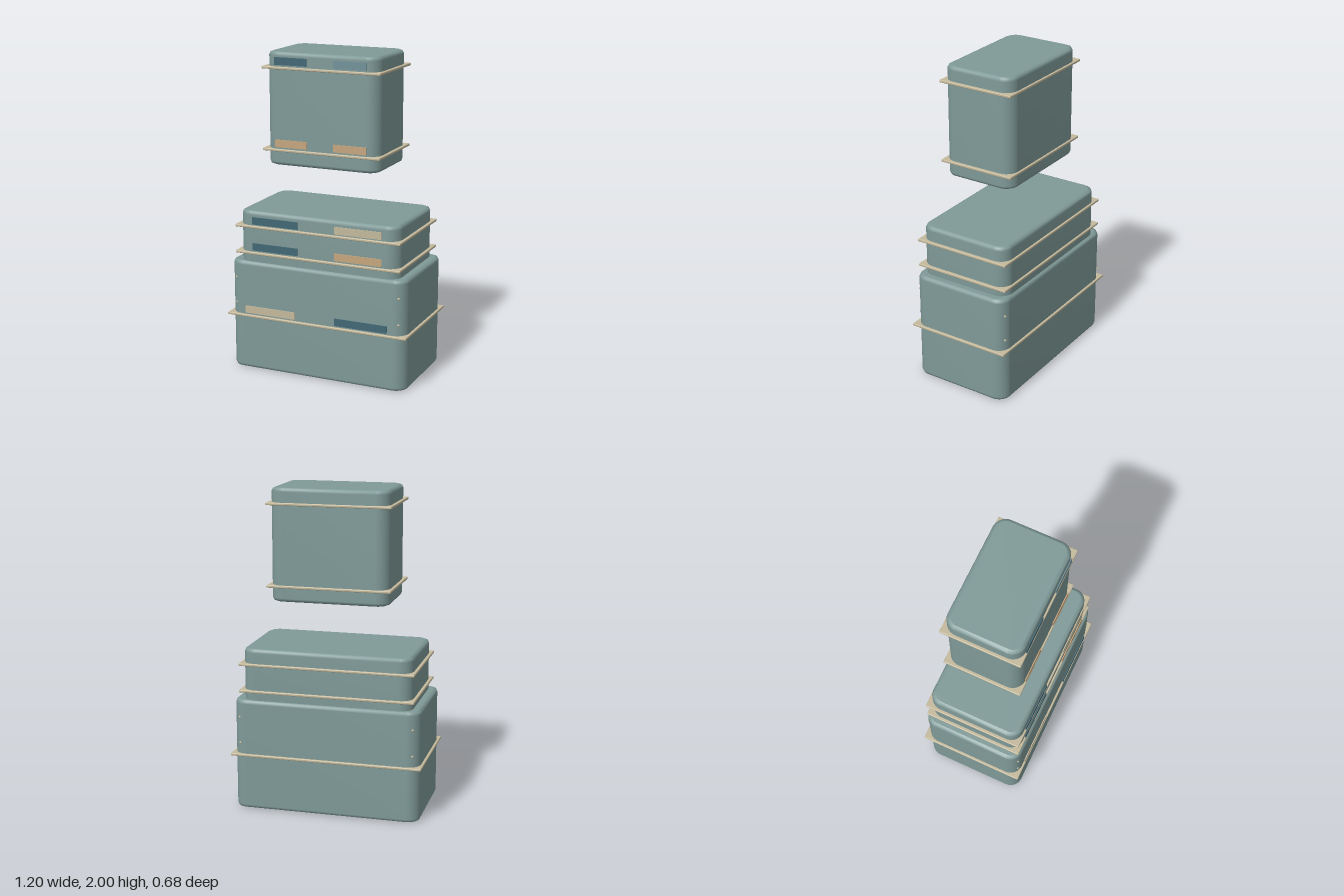
import * as THREE from 'three';
import { mergeVertices } from 'three/addons/utils/BufferGeometryUtils.js';
import { RoundedBoxGeometry } from 'three/addons/geometries/RoundedBoxGeometry.js';

const material = (name, color) => {
  const m = new THREE.MeshStandardMaterial({ color });
  m.name = name;
  return m;
};

// Rounded-rectangle outline from half sizes
function roundedRect(a, b, r) {
  const s = new THREE.Shape();
  s.absarc(a - r, b - r, r, 0, Math.PI / 2);
  s.absarc(-a + r, b - r, r, Math.PI / 2, Math.PI);
  s.absarc(-a + r, -b + r, r, Math.PI, Math.PI * 1.5);
  s.absarc(a - r, -b + r, r, Math.PI * 1.5, Math.PI * 2);
  s.closePath();
  return s;
}

// Bevelled block: smooth walls and flat caps as two geometries
function blockGeometries(a, b, y0, y1) {
  const bevel = 0.023, radius = 0.08;
  const geo = new THREE.ExtrudeGeometry(roundedRect(a - bevel, b - bevel, radius - bevel), {
    depth: y1 - y0 - 2 * bevel, bevelSize: bevel, bevelThickness: bevel,
    bevelSegments: 2, curveSegments: 8,
  });
  geo.rotateX(-Math.PI / 2);
  geo.translate(0, y0 + bevel, 0);
  const pos = geo.attributes.position.array;
  return geo.groups.map(({ start, count, materialIndex }) => {
    let part = new THREE.BufferGeometry();
    part.setAttribute('position', new THREE.BufferAttribute(pos.slice(start * 3, (start + count) * 3), 3));
    if (materialIndex === 1) part = mergeVertices(part, 1e-4);
    part.computeVertexNormals();
    return part;
  });
}

export function createModel() {
  const body = material('slate teal', 0x7f9a98);
  const cream = material('cream', 0xc4b99c);
  const tan = material('tan', 0xc6a67e);
  const blue = material('deep blue', 0x416774);
  const grey = material('grey blue', 0x72919a);

  const model = new THREE.Group();
  model.name = 'stackedBlocks';

  // Each tier: half width, half depth, bottom, top, band half sizes and heights,
  // plates as [xMin, xMax, centre height, material] on the front
  const tiers = [
    { name: 'lowerBlock', a: 0.585, b: 0.325, y0: 0, y1: 0.7,
      band: [0.6, 0.338], bandY: [0.35], plateZ: 0.332,
      plates: [[-0.475, -0.135, 0.392, cream], [0.132, 0.475, 0.392, blue]] },
    { name: 'middleBlock', a: 0.53, b: 0.304, y0: 0.65, y1: 1.02,
      band: [0.548, 0.316], bandY: [0.755, 0.923], plateZ: 0.312,
      plates: [[-0.43, -0.122, 0.797, blue], [0.122, 0.43, 0.797, tan],
        [-0.43, -0.122, 0.963, blue], [0.122, 0.43, 0.963, cream]] },
    { name: 'upperBlock', a: 0.367, b: 0.236, y0: 1.31, y1: 2,
      band: [0.385, 0.247], bandY: [1.405, 1.905], plateZ: 0.243,
      plates: [[-0.3, -0.087, 1.447, tan], [0.087, 0.3, 1.447, tan],
        [-0.3, -0.087, 1.947, blue], [0.087, 0.3, 1.947, grey]] },
  ];

  for (const t of tiers) {
    const tier = new THREE.Group();
    tier.name = t.name;
    const add = (name, geo, mat, x = 0, y = 0, z = 0) => {
      const mesh = new THREE.Mesh(geo, mat);
      mesh.name = name;
      mesh.position.set(x, y, z);
      tier.add(mesh);
    };

    // Block walls and caps
    blockGeometries(t.a, t.b, t.y0, t.y1).forEach((geo, i) => add(i ? 'walls' : 'caps', geo, body));

    // Projecting ledge bands
    for (const y of t.bandY) {
      add('ledgeBand', new RoundedBoxGeometry(t.band[0] * 2, 0.016, t.band[1] * 2, 2, 0.005), cream, 0, y, 0);
    }

    // Front plates
    for (const [x0, x1, y, mat] of t.plates) {
      add('frontPlate', new THREE.BoxGeometry(x1 - x0, 0.046, 0.006), mat, (x0 + x1) / 2, y, t.plateZ);
    }

    // Corner studs on the lower block
    if (t.name === 'lowerBlock') {
      const stud = new THREE.SphereGeometry(0.008, 12, 8);
      for (const sx of [-1, 1]) for (const sz of [-1, 1]) for (const y of [0.425, 0.59]) {
        add('cornerStud', stud, cream, sx * 0.543, y, sz * 0.314);
      }
    }
    model.add(tier);
  }
  return model;
}
